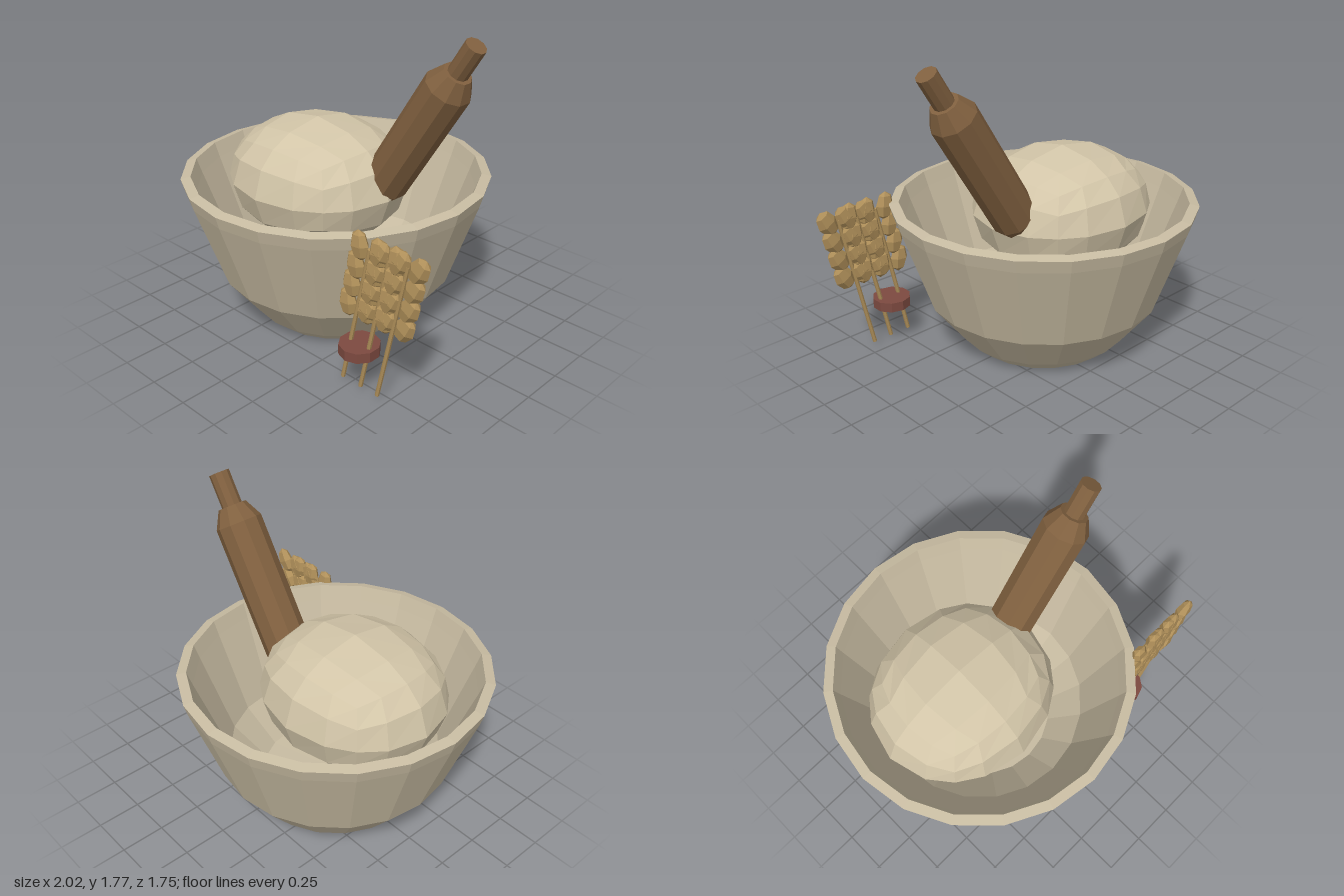
import * as THREE from 'three';

const mat = (name, color) => Object.assign(new THREE.MeshStandardMaterial({ color }), { name });

// Faceted normals for a low-poly look
function facet(geometry) {
  const g = geometry.index ? geometry.toNonIndexed() : geometry;
  g.computeVertexNormals();
  return g;
}

function lathe(profile, sides) {
  return facet(new THREE.LatheGeometry(profile.map(([r, y]) => new THREE.Vector2(r, y)), sides));
}

// Rounded lump: a subdivided box pushed out onto a sphere, then squashed
function lump(rx, ry, rz) {
  const g = new THREE.BoxGeometry(2, 2, 2, 4, 4, 4);
  const p = g.attributes.position;
  const v = new THREE.Vector3();
  for (let i = 0; i < p.count; i++) {
    v.fromBufferAttribute(p, i).normalize();
    p.setXYZ(i, v.x * rx, v.y * ry, v.z * rz);
  }
  return facet(g);
}

export function createModel() {
  const model = new THREE.Group();
  model.name = 'mortarAndPestle';
  const stone = mat('stone', 0xc8bca2);
  const dough = mat('dough', 0xd2c5a8);
  const wood = mat('wood', 0x80603f);
  const straw = mat('straw', 0xb0905a);
  const red = mat('redBand', 0x7d4a40);

  const add = (parent, name, geometry, material, x = 0, y = 0, z = 0) => {
    const mesh = new THREE.Mesh(geometry, material);
    mesh.name = name;
    mesh.position.set(x, y, z);
    parent.add(mesh);
    return mesh;
  };

  // Bowl: outer wall, rim, then inner wall down to the floor
  add(model, 'bowl', lathe([
    [0, 0], [0.42, 0], [0.5, 0.07], [0.68, 0.3], [0.855, 0.8], [0.875, 0.872],
    [0.82, 0.885], [0.79, 0.8], [0.61, 0.32], [0.42, 0.12], [0, 0.1],
  ], 20), stone, -0.125);

  // Dough mound resting in the bowl
  add(model, 'dough', lump(0.545, 0.36, 0.49), dough, -0.27, 0.79, 0);

  // Pestle: leaning, its lower end sunk into the dough
  const pestle = add(model, 'pestle', lathe([
    [0, -1.12], [0.1, -1.12], [0.132, -1.05], [0.132, -0.29], [0.08, -0.19],
    [0.058, -0.19], [0.058, 0], [0, 0],
  ], 10), wood, 0.745, 1.745, -0.08);
  pestle.rotation.z = -0.57;

  // Three grain stalks, each with four pairs of kernels leaning outward
  const stalkGeo = facet(new THREE.CylinderGeometry(0.012, 0.012, 0.84, 6));
  stalkGeo.translate(0, 0.42, 0);
  const kernelGeo = facet(new THREE.SphereGeometry(1, 6, 4).scale(0.058, 0.083, 0.037));
  [0.465, 0.59, 0.705].forEach((x) => {
    const ear = new THREE.Group();
    ear.name = 'grainStalk';
    ear.position.set(x, 0.035, 0.558);
    ear.rotation.z = -0.22;
    model.add(ear);
    add(ear, 'stalk', stalkGeo, straw);
    for (let row = 0; row < 4; row++) {
      for (const side of [-1, 1]) {
        const y = 0.485 + row * 0.118 + side * 0.014;
        const kernel = add(ear, 'kernel', kernelGeo, straw, side * 0.066, y, 0);
        kernel.rotation.z = -side * 0.32;
      }
    }
  });

  // Band tying the stalks
  add(model, 'band', facet(new THREE.CylinderGeometry(0.11, 0.11, 0.056, 10)), red, 0.575, 0.263, 0.55);

  return model;
}
